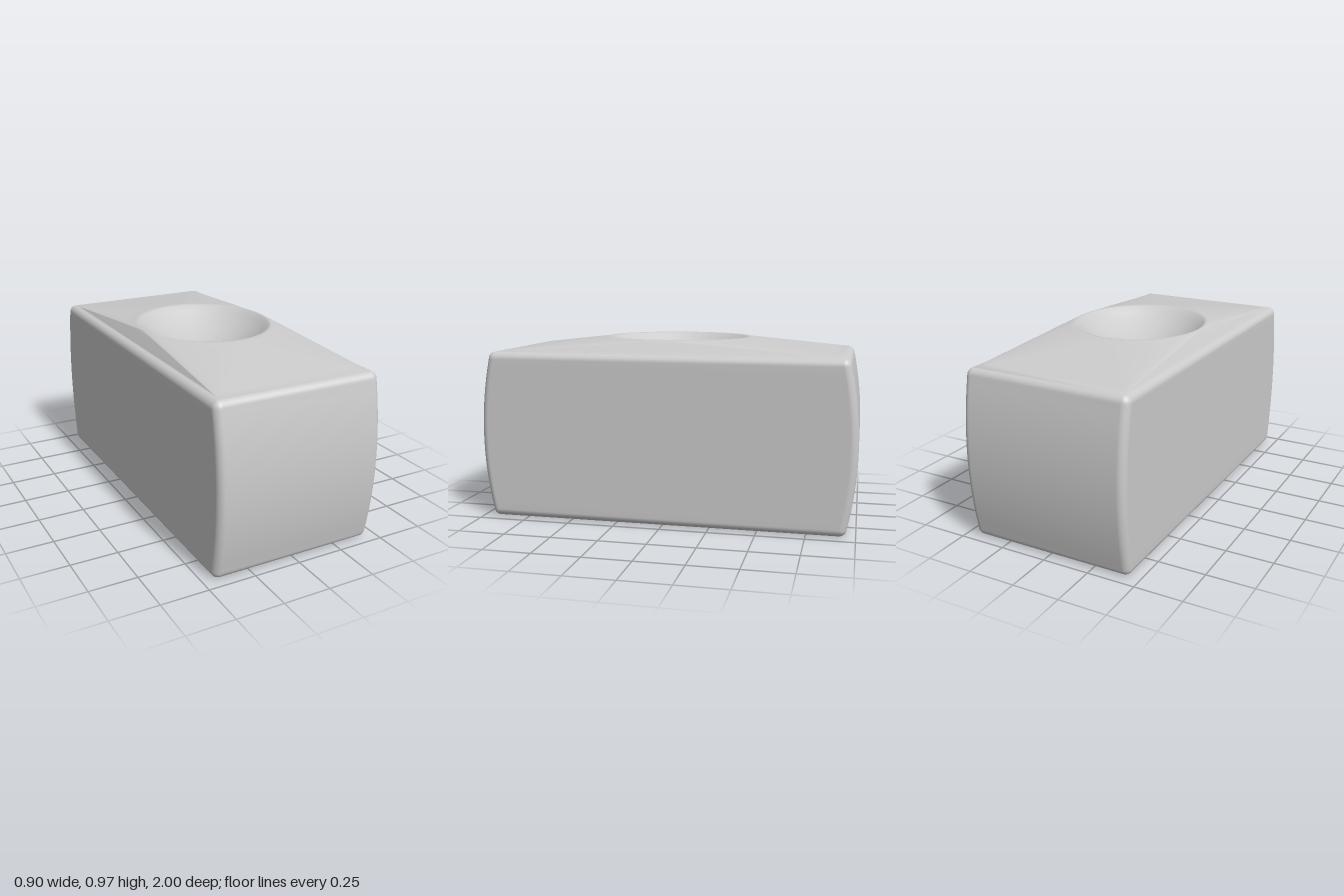
import * as THREE from 'three';
import { mergeVertices } from 'three/addons/utils/BufferGeometryUtils.js';

const K = 20; // segments per corner

// One horizontal loop: a rectangle of half sizes hx, hz with elliptical corners rx, rz
function ring(y, hx, hz, rx, rz) {
  const pts = [];
  for (let q = 0; q < 4; q++) {
    const sx = q === 0 || q === 3 ? 1 : -1;
    const sz = q < 2 ? 1 : -1;
    for (let k = 0; k <= K; k++) {
      const a = (q + k / K) * Math.PI / 2;
      pts.push(new THREE.Vector3(sx * (hx - rx) + rx * Math.cos(a), y, sz * (hz - rz) + rz * Math.sin(a)));
    }
  }
  return pts;
}

// Skin a stack of loops, leaving out collapsed faces
function loft(rings) {
  const n = rings[0].length;
  const pos = [];
  const tri = (a, b, c) => {
    const area = b.clone().sub(a).cross(c.clone().sub(a)).length();
    if (area > 1e-9) for (const p of [a, b, c]) pos.push(p.x, p.y, p.z);
  };
  for (let i = 0; i < rings.length - 1; i++) {
    for (let j = 0; j < n; j++) {
      const k = (j + 1) % n;
      tri(rings[i][j], rings[i + 1][j], rings[i + 1][k]);
      tri(rings[i][j], rings[i + 1][k], rings[i][k]);
    }
  }
  const raw = new THREE.BufferGeometry();
  raw.setAttribute('position', new THREE.Float32BufferAttribute(pos, 3));
  const geo = mergeVertices(raw, 1e-5);
  geo.computeVertexNormals();
  return geo;
}

export function createModel() {
  const H = 0.9, W = 0.45, R = 0.04, ROUND = 6;
  const halfLength = (y) => 1 - 0.045 * ((y - H / 2) / (H / 2 - R)) ** 2;
  const rings = [ring(0, 0, 0, 0, 0)];

  // Rounded bottom edge
  const edge = (y, t) => {
    const inset = R * (1 - Math.sin(t));
    const end = halfLength(R) - inset;
    rings.push(ring(y, W - inset, end, R - inset, R - inset));
  };
  for (let i = 0; i < ROUND; i++) {
    const t = i / ROUND * Math.PI / 2;
    edge(R * (1 - Math.cos(t)), t);
  }
  // Walls, with the two ends bulging outward
  for (let i = 0; i <= 16; i++) {
    const y = R + (H - 2 * R) * i / 16;
    rings.push(ring(y, W, halfLength(y), R, R));
  }
  // Rounded top edge
  for (let i = ROUND - 1; i >= 0; i--) {
    const t = i / ROUND * Math.PI / 2;
    edge(H - R * (1 - Math.cos(t)), t);
  }
  // Top ruled from the rectangular edge up to the round rim
  const base = rings[rings.length - 1];
  const rim = ring(0.967, 0.365, 0.42, 0.365, 0.42);
  for (let i = 1; i <= 10; i++) {
    rings.push(base.map((p, j) => p.clone().lerp(rim[j], i / 10)));
  }
  // Softened rim
  rings.push(ring(0.972, 0.355, 0.395, 0.355, 0.395));
  rings.push(ring(0.967, 0.343, 0.372, 0.343, 0.372));
  // Hollow bowl
  for (let i = 1; i <= 16; i++) {
    const t = 1 - i / 16;
    rings.push(ring(0.957 - 0.135 * (1 - t * t), 0.335 * t, 0.358 * t, 0.335 * t, 0.358 * t));
  }

  const block = new THREE.Mesh(loft(rings), new THREE.MeshStandardMaterial({ color: 0xcccccc }));
  block.name = 'blockWithBowl';
  const group = new THREE.Group();
  group.name = 'hollowedBlock';
  group.add(block);
  return group;
}
